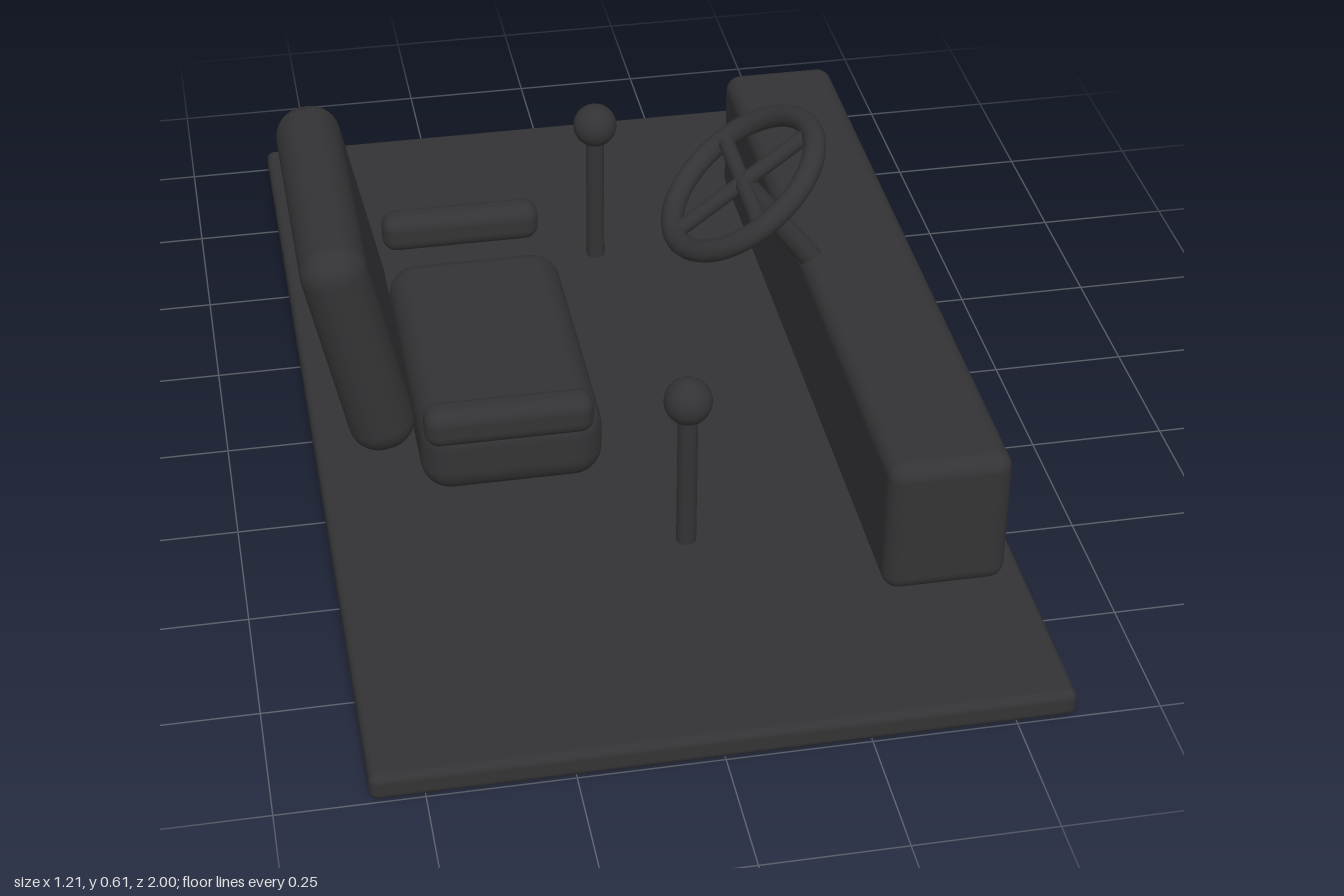
import * as THREE from 'three';
import { RoundedBoxGeometry } from 'three/addons/geometries/RoundedBoxGeometry.js';

export function createModel() {
  const model = new THREE.Group();
  model.name = 'driverCabin';
  const material = new THREE.MeshStandardMaterial({ color: 0x333335 });

  const add = (name, geometry, x, y, z, parent = model) => {
    const mesh = new THREE.Mesh(geometry, material);
    mesh.name = name;
    mesh.position.set(x, y, z);
    parent.add(mesh);
    return mesh;
  };
  const box = (w, h, d, r) => new RoundedBoxGeometry(w, h, d, 5, r);
  const rod = (r, length) => new THREE.CylinderGeometry(r, r, length, 24);

  // Floor plate and dashboard
  add('floor', box(1.195, 0.05, 2, 0.015), 0.006, 0.025, 0);
  add('dashboard', box(0.22, 0.267, 1.39, 0.03), 0.455, 0.186, 0);

  // Seat facing +x, with a reclined back and two armrests
  add('seatCushion', box(0.334, 0.157, 0.578, 0.055), -0.243, 0.131, 0);
  const back = add('seatBack', box(0.12, 0.442, 0.578, 0.055), -0.512, 0.37, 0);
  back.rotation.z = THREE.MathUtils.degToRad(12);

  // Armrests and control levers, mirrored across z
  for (const side of [-1, 1]) {
    add('armrest', box(0.305, 0.075, 0.064, 0.027), -0.258, 0.248, side * 0.324);
    add('leverRod', rod(0.018, 0.29), 0.036, 0.19, side * 0.475);
    add('leverKnob', new THREE.SphereGeometry(0.043, 32, 20), 0.036, 0.354, side * 0.475);
  }

  // Steering wheel: local y is the column axis, tilted towards the driver
  const steering = new THREE.Group();
  steering.name = 'steeringWheel';
  steering.position.set(0.231, 0.488, 0);
  steering.rotation.z = THREE.MathUtils.degToRad(37);
  model.add(steering);

  const rim = add('wheelRim', new THREE.TorusGeometry(0.16, 0.021, 16, 64), 0, 0, 0, steering);
  rim.rotation.x = Math.PI / 2;
  add('wheelSpoke', rod(0.015, 0.32), 0, 0, 0, steering).rotation.x = Math.PI / 2;
  add('wheelSpoke', rod(0.015, 0.32), 0, 0, 0, steering).rotation.z = Math.PI / 2;
  add('steeringColumn', rod(0.022, 0.25), 0, -0.125, 0, steering);

  return model;
}
